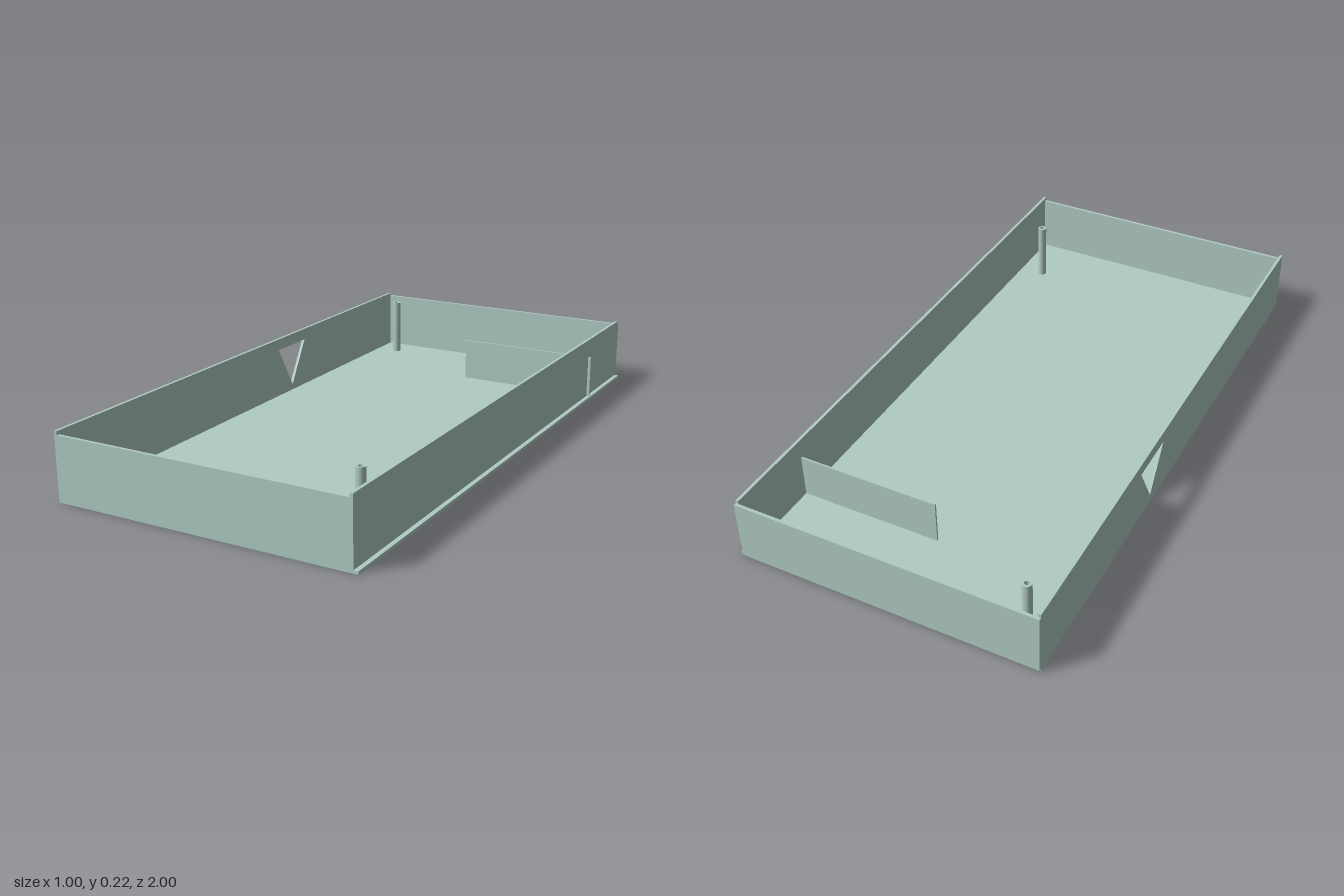
import * as THREE from 'three';

const material = new THREE.MeshStandardMaterial({ color: 0xb0ccc4 });

// Box given by its minimum and maximum corners
function slab(name, [x0, y0, z0], [x1, y1, z1]) {
  const mesh = new THREE.Mesh(new THREE.BoxGeometry(x1 - x0, y1 - y0, z1 - z0), material);
  mesh.position.set((x0 + x1) / 2, (y0 + y1) / 2, (z0 + z1) / 2);
  mesh.name = name;
  return mesh;
}

// Side wall drawn in the z-y plane with a downward-pointing triangular opening
function windowWall(name, x, thickness) {
  const shape = new THREE.Shape();
  shape.moveTo(-1, 0.01).lineTo(0.99, 0.01).lineTo(0.99, 0.22).lineTo(-1, 0.22).closePath();
  const hole = new THREE.Path();
  const cz = 0.235, cy = 0.13, r = 0.1;
  for (let i = 0; i < 3; i++) {
    const a = -Math.PI / 2 + (i * 2 * Math.PI) / 3;
    const p = [cz + r * Math.cos(a), cy + r * Math.sin(a)];
    if (i === 0) hole.moveTo(...p);
    else hole.lineTo(...p);
  }
  hole.closePath();
  shape.holes.push(hole);
  const geometry = new THREE.ExtrudeGeometry(shape, { depth: thickness, bevelEnabled: false });
  geometry.rotateY(Math.PI / 2); // shape x becomes -z, depth becomes +x
  geometry.translate(x, 0, 0);
  const mesh = new THREE.Mesh(geometry, material);
  mesh.name = name;
  return mesh;
}

// Hollow screw post standing on the floor
function post(name, x, z) {
  const shape = new THREE.Shape().absarc(0, 0, 0.015, 0, Math.PI * 2);
  shape.holes.push(new THREE.Path().absarc(0, 0, 0.008, 0, Math.PI * 2, true));
  const geometry = new THREE.ExtrudeGeometry(shape, { depth: 0.2, bevelEnabled: false, curveSegments: 24 });
  geometry.rotateX(-Math.PI / 2);
  const mesh = new THREE.Mesh(geometry, material);
  mesh.position.set(x, 0.01, z);
  mesh.name = name;
  return mesh;
}

export function createModel() {
  const group = new THREE.Group();
  group.name = 'openTray';
  group.add(
    // Floor, projecting a little past the left wall
    slab('floor', [-0.5, 0, -0.99], [0.5, 0.01, 1]),
    // Four walls
    slab('frontWall', [-0.49, 0.01, 0.99], [0.475, 0.208, 1]),
    slab('backWall', [-0.5, 0.01, -1], [0.485, 0.21, -0.99]),
    slab('leftWall', [0.475, 0.01, -0.99], [0.485, 0.22, 1]),
    windowWall('rightWall', -0.5, 0.01),
    // Divider whose tab pokes through the left wall
    slab('divider', [0, 0.01, -0.69], [0.495, 0.155, -0.684]),
    // Posts in opposite corners
    post('backPost', -0.41, -0.895),
    post('frontPost', 0.39, 0.795),
  );
  return group;
}
